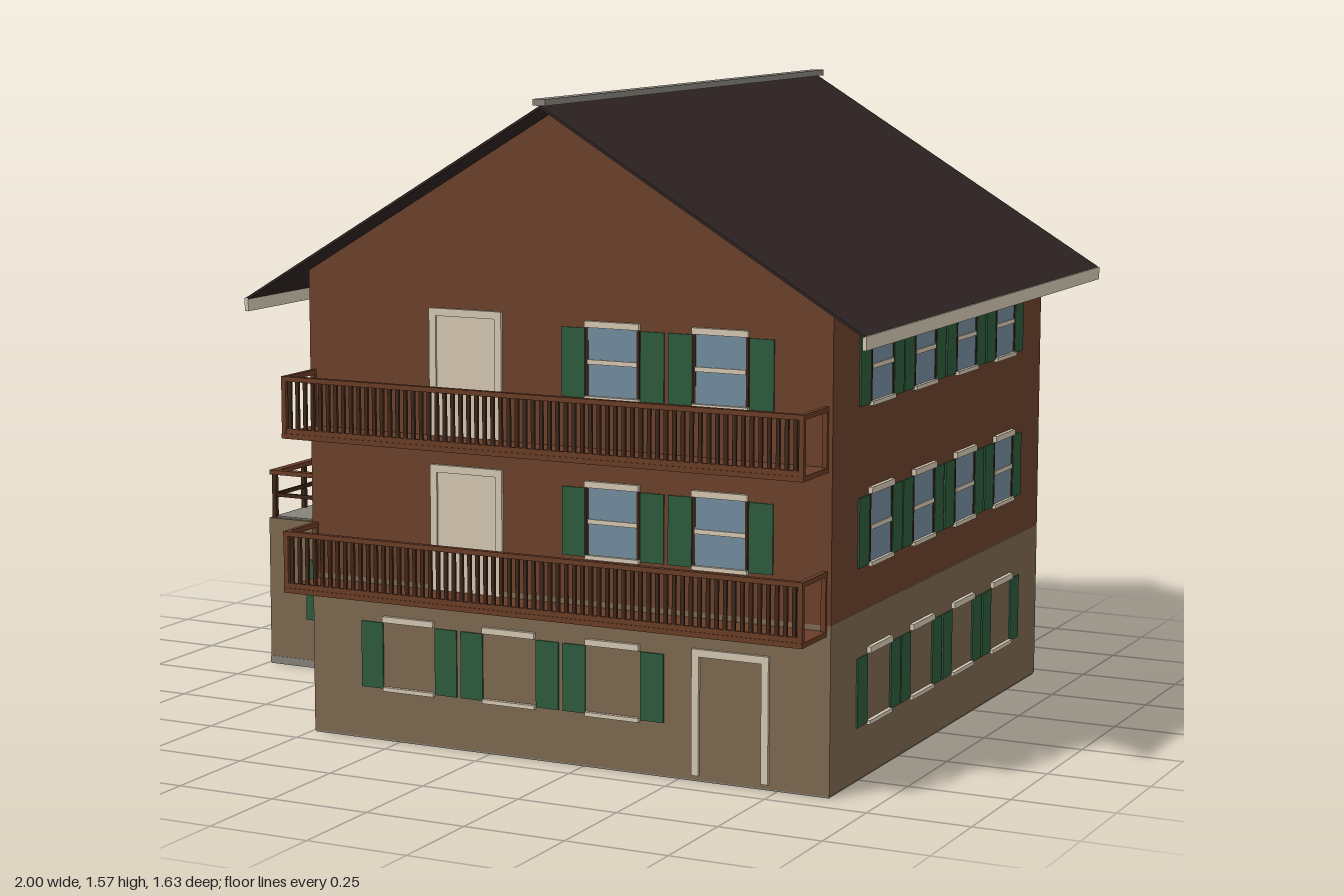
import * as THREE from 'three';

const mat = (name, color) => Object.assign(new THREE.MeshStandardMaterial({ color }), { name });
const M = {
  timber: mat('timber', 0x6b412c),
  stone: mat('stone', 0x7c684e),
  roof: mat('roofing', 0x2f2424),
  cream: mat('creamTrim', 0xd3c6b1),
  green: mat('shutterGreen', 0x2d5b3d),
  glass: mat('glass', 0x728b9c),
  grey: mat('concrete', 0x86827a),
  dark: mat('darkWood', 0x40271a),
  rail: mat('railWood', 0x683c26),
};

// Box given by its minimum and maximum corners
function box(parent, name, m, x0, x1, y0, y1, z0, z1) {
  const mesh = new THREE.Mesh(new THREE.BoxGeometry(x1 - x0, y1 - y0, z1 - z0), m);
  mesh.position.set((x0 + x1) / 2, (y0 + y1) / 2, (z0 + z1) / 2);
  mesh.name = name;
  parent.add(mesh);
  return mesh;
}

// Window in wall space: u along the wall, y0 its sill, z outward
function addWindow(wall, u, y0, glazed) {
  const g = new THREE.Group();
  g.name = 'window';
  g.position.set(u, y0, 0);
  wall.add(g);
  if (glazed) {
    box(g, 'pane', M.glass, -0.063, 0.063, 0, 0.165, 0, 0.002);
    box(g, 'crossbar', M.cream, -0.063, 0.063, 0.079, 0.09, 0, 0.005);
    for (const s of [-1, 1])
      box(g, 'jamb', M.dark, s * 0.066 - 0.003, s * 0.066 + 0.003, 0, 0.165, 0, 0.004);
  }
  box(g, 'lintel', M.cream, -0.07, 0.07, 0.165, 0.18, 0, 0.01);
  box(g, 'sill', M.cream, -0.07, 0.07, -0.005, 0.005, 0, 0.01);
  for (const s of [-1, 1])
    box(g, 'shutter', M.green, s * 0.102 - 0.03, s * 0.102 + 0.03, 0, 0.163, 0, 0.004);
}

// Door with a frame; the ground-floor doors keep the wall's own surface
function addDoor(wall, u, y0, height, leaf) {
  const g = new THREE.Group();
  g.name = 'door';
  g.position.set(u, y0, 0);
  wall.add(g);
  if (leaf) box(g, 'doorLeaf', M.cream, -0.08, 0.08, 0, height - 0.01, 0, 0.003);
  for (const s of [-1, 1])
    box(g, 'doorPost', M.cream, s * 0.088 - 0.009, s * 0.088 + 0.009, 0, height, 0, 0.008);
  box(g, 'doorHead', M.cream, -0.097, 0.097, height - 0.018, height, 0, 0.008);
}

// Group whose local z points out of a wall
function wallGroup(root, name, x, z, turn) {
  const g = new THREE.Group();
  g.name = name;
  g.position.set(x, 0, z);
  g.rotation.y = turn;
  root.add(g);
  return g;
}

function addBalcony(root, y) {
  const g = new THREE.Group();
  g.name = 'balcony';
  g.position.y = y;
  root.add(g);
  const x0 = -0.485, x1 = 0.87, z0 = 0.68, z1 = 0.82;
  box(g, 'balconyFloor', M.rail, x0, x1, 0, 0.012, z0, z1);
  box(g, 'frontRail', M.rail, x0, x1, 0.138, 0.15, z1 - 0.014, z1);
  box(g, 'lowerRail', M.rail, x0, x1, 0.012, 0.024, z1 - 0.01, z1 - 0.002);
  for (const x of [x0, x1 - 0.012]) {
    box(g, 'sideRail', M.rail, x, x + 0.012, 0.138, 0.15, z0, z1 - 0.014);
    box(g, 'wallPost', M.rail, x, x + 0.012, 0.012, 0.138, z0, z0 + 0.008);
    box(g, 'cornerPost', M.rail, x, x + 0.012, 0.012, 0.138, z1 - 0.013, z1 - 0.001);
  }
  const n = 64;
  for (let i = 1; i < n; i++) {
    const x = x0 + (x1 - x0) * i / n;
    box(g, 'baluster', M.dark, x - 0.0045, x + 0.0045, 0.012, 0.138, z1 - 0.01, z1 - 0.003);
  }
}

export function createModel() {
  const root = new THREE.Group();
  root.name = 'chalet';
  const U = [-0.22, 0.055, 0.33, 0.605];      // window columns on the gable walls
  const Z = [0.395, 0.125, -0.15, -0.425];    // window columns on the side walls
  const floors = [0.505, 0.88];

  // Main house: stone ground floor and gabled timber storeys
  box(root, 'groundFloor', M.stone, -0.49, 0.88, 0.004, 0.4, -0.7, 0.68);
  box(root, 'houseBase', M.grey, -0.488, 0.878, 0, 0.004, -0.698, 0.678);
  const gable = new THREE.Shape([[-0.49, 0.4], [0.88, 0.4], [0.88, 1.14], [0.195, 1.55], [-0.49, 1.14]]
    .map(([x, y]) => new THREE.Vector2(x, y)));
  const upper = new THREE.Mesh(new THREE.ExtrudeGeometry(gable, { depth: 1.38, bevelEnabled: false }), M.timber);
  upper.position.z = -0.7;
  upper.name = 'upperFloors';
  root.add(upper);

  // Thin roof slopes, eave boards and ridge cap
  const run = 0.8, drop = 0.48;
  for (const s of [-1, 1]) {
    const slope = new THREE.Mesh(new THREE.BoxGeometry(Math.hypot(run, drop), 0.006, 1.59), M.roof);
    slope.position.set(0.195 + s * run / 2, 1.555 - drop / 2, -0.015);
    slope.rotation.z = -s * Math.atan2(drop, run);
    slope.name = 'roofSlope';
    root.add(slope);
    const x = 0.195 + s * 0.8;
    box(root, 'eaveBoard', M.cream, x - 0.005, x + 0.005, 1.045, 1.077, -0.81, 0.78);
  }
  box(root, 'ridgeCap', M.grey, 0.179, 0.211, 1.558, 1.573, -0.815, 0.785);

  // Front wall
  const front = wallGroup(root, 'frontWall', 0, 0.68, 0);
  for (const y of floors) for (const u of U.slice(2)) addWindow(front, u, y, true);
  for (const u of U.slice(0, 3)) addWindow(front, u, 0.13, false);
  addDoor(front, 0.633, 0.015, 0.3, false);
  addDoor(front, -0.057, 0.388, 0.305, true);
  addDoor(front, -0.057, 0.763, 0.305, true);

  // Back wall
  const back = wallGroup(root, 'backWall', 0, -0.7, Math.PI);
  for (const y of floors) for (const u of U) addWindow(back, -u, y, true);
  for (const u of U.slice(0, 3)) addWindow(back, -u, 0.13, false);
  addDoor(back, -0.633, 0.015, 0.3, false);

  // Left wall, and the right wall with a door to the terrace
  const left = wallGroup(root, 'leftWall', 0.88, 0, Math.PI / 2);
  const right = wallGroup(root, 'rightWall', -0.49, 0, -Math.PI / 2);
  Z.forEach((z, i) => {
    for (const y of floors) {
      addWindow(left, -z, y, true);
      if (i < 3 || y > 0.6) addWindow(right, z, y, true);
    }
    addWindow(left, -z, 0.13, false);
  });
  addWindow(right, Z[0], 0.13, false);
  addDoor(right, -0.415, 0.405, 0.285, true);

  for (const y of [0.375, 0.75]) addBalcony(root, y);

  // Annex with terrace
  const ax0 = -0.99, ax1 = -0.49, az0 = -0.64, az1 = 0.1;
  box(root, 'annexBase', M.grey, ax0 - 0.001, ax1, 0, 0.02, az0 - 0.001, az1 + 0.001);
  box(root, 'annex', M.stone, ax0, ax1, 0.02, 0.396, az0, az1);
  box(root, 'terraceFloor', M.grey, ax0 + 0.012, ax1, 0.396, 0.4, az0 + 0.012, az1 - 0.012);
  addWindow(wallGroup(root, 'annexFront', -0.743, az1, 0), 0, 0.13, true);
  addWindow(wallGroup(root, 'annexBack', -0.743, az0, Math.PI), 0, 0.13, true);
  const annexSide = wallGroup(root, 'annexSide', ax0, 0, -Math.PI / 2);
  for (const z of [-0.41, -0.13]) addWindow(annexSide, z, 0.13, true);

  // Terrace railing on three sides
  const railing = new THREE.Group();
  railing.name = 'terraceRailing';
  root.add(railing);
  const post = (x, z) =>
    box(railing, 'railPost', M.dark, x - 0.006, x + 0.006, 0.396, 0.513, z - 0.006, z + 0.006);
  const rx = ax0 + 0.012, rz0 = az0 + 0.012, rz1 = az1 - 0.012;
  for (const [y0, y1, w, m] of [[0.513, 0.525, 0.011, M.rail], [0.453, 0.463, 0.004, M.dark]]) {
    for (const z of [rz0, rz1]) box(railing, 'endRail', m, rx - w, ax1, y0, y1, z - w, z + w);
    box(railing, 'sideRail', m, rx - w, rx + w, y0, y1, rz0 + w, rz1 - w);
  }
  for (const z of [rz0, rz1])
    for (let i = 0; i < 4; i++) post(rx + i * 0.16, z);
  for (let i = 1; i < 5; i++) post(rx, rz0 + (rz1 - rz0) * i / 5);

  return root;
}
